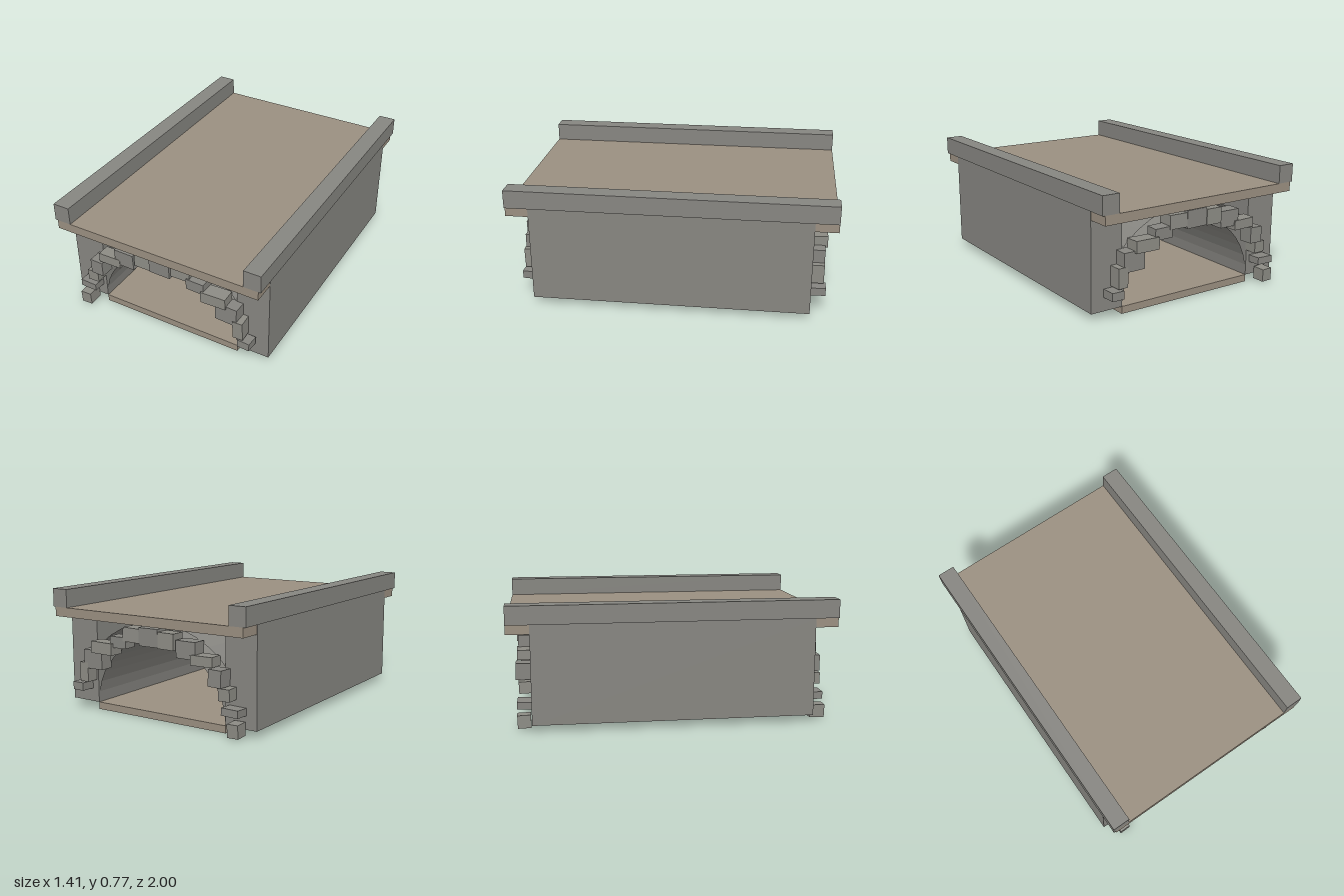
import * as THREE from 'three';

const stone = new THREE.MeshStandardMaterial({ color: 0x868580, flatShading: true });
const paleStone = new THREE.MeshStandardMaterial({ color: 0x8c8b84, flatShading: true });
const earth = new THREE.MeshStandardMaterial({ color: 0x9a8f80, flatShading: true });
const vaultStone = new THREE.MeshStandardMaterial({ color: 0x868580, flatShading: true, side: THREE.DoubleSide });

function box(name, material, [x0, x1], [y0, y1], [z0, z1]) {
  const mesh = new THREE.Mesh(new THREE.BoxGeometry(x1 - x0, y1 - y0, z1 - z0), material);
  mesh.position.set((x0 + x1) / 2, (y0 + y1) / 2, (z0 + z1) / 2);
  mesh.name = name;
  return mesh;
}

// Open half-elliptical shell running along z
function vault(name, rx, ry, baseY, length) {
  const geometry = new THREE.CylinderGeometry(1, 1, length, 20, 1, true, Math.PI / 2, Math.PI);
  geometry.rotateX(Math.PI / 2);
  geometry.scale(rx, ry, 1);
  const mesh = new THREE.Mesh(geometry, vaultStone);
  mesh.position.y = baseY;
  mesh.name = name;
  return mesh;
}

// Rough arch stones: centre x, centre y, width, height
const archStones = [
  [-0.583, 0.05, 0.072, 0.08], [-0.563, 0.15, 0.113, 0.045],
  [-0.517, 0.245, 0.076, 0.072], [-0.468, 0.335, 0.088, 0.1],
  [-0.37, 0.422, 0.15, 0.06], [-0.258, 0.472, 0.137, 0.104],
  [-0.123, 0.51, 0.112, 0.098], [0.005, 0.52, 0.143, 0.11],
  [0.136, 0.518, 0.13, 0.086], [0.243, 0.465, 0.12, 0.07],
  [0.366, 0.417, 0.162, 0.073], [0.448, 0.337, 0.143, 0.118],
  [0.525, 0.25, 0.065, 0.122], [0.567, 0.155, 0.08, 0.05],
];

function archRing(name, side) {
  const ring = new THREE.Group();
  ring.name = name;
  archStones.forEach(([x, y, w, h], i) => {
    const wobble = Math.sin(i * 2.7 + side);
    const depth = 0.088 + 0.008 * wobble;
    const mesh = new THREE.Mesh(new THREE.BoxGeometry(w, h, depth), i % 2 ? stone : paleStone);
    mesh.position.set(x, y, side * (0.9 + 0.007 * Math.cos(i * 1.9)));
    mesh.rotation.set(0.03 * wobble, 0.04 * Math.cos(i * 3.1 + side), 0.02 * wobble);
    mesh.name = 'archStone';
    ring.add(mesh);
  });
  return ring;
}

export function createModel() {
  const model = new THREE.Group();
  model.name = 'stoneBridge';

  // Road deck and tunnel floor
  model.add(box('deck', earth, [-0.689, 0.689], [0.595, 0.653], [-1, 1]));
  model.add(box('tunnelFloor', earth, [-0.48, 0.48], [0, 0.045], [-0.86, 0.86]));

  // Side walls and parapets
  for (const [label, s] of [['left', 1], ['right', -1]]) {
    const span = (a, b) => (s > 0 ? [a, b] : [-b, -a]);
    model.add(box(label + 'Wall', stone, span(0.48, 0.69), [0.045, 0.651], [-0.86, 0.86]));
    model.add(box(label + 'Parapet', stone, span(0.595, 0.705), [0.653, 0.766], [-1, 1]));
  }

  // Inner and outer skins of the vault
  model.add(vault('innerVault', 0.48, 0.445, 0.045, 1.72));
  model.add(vault('outerVault', 0.62, 0.549, 0.045, 1.72));

  // Rings of loose stones at both mouths
  model.add(archRing('frontArch', 1));
  model.add(archRing('backArch', -1));
  return model;
}
